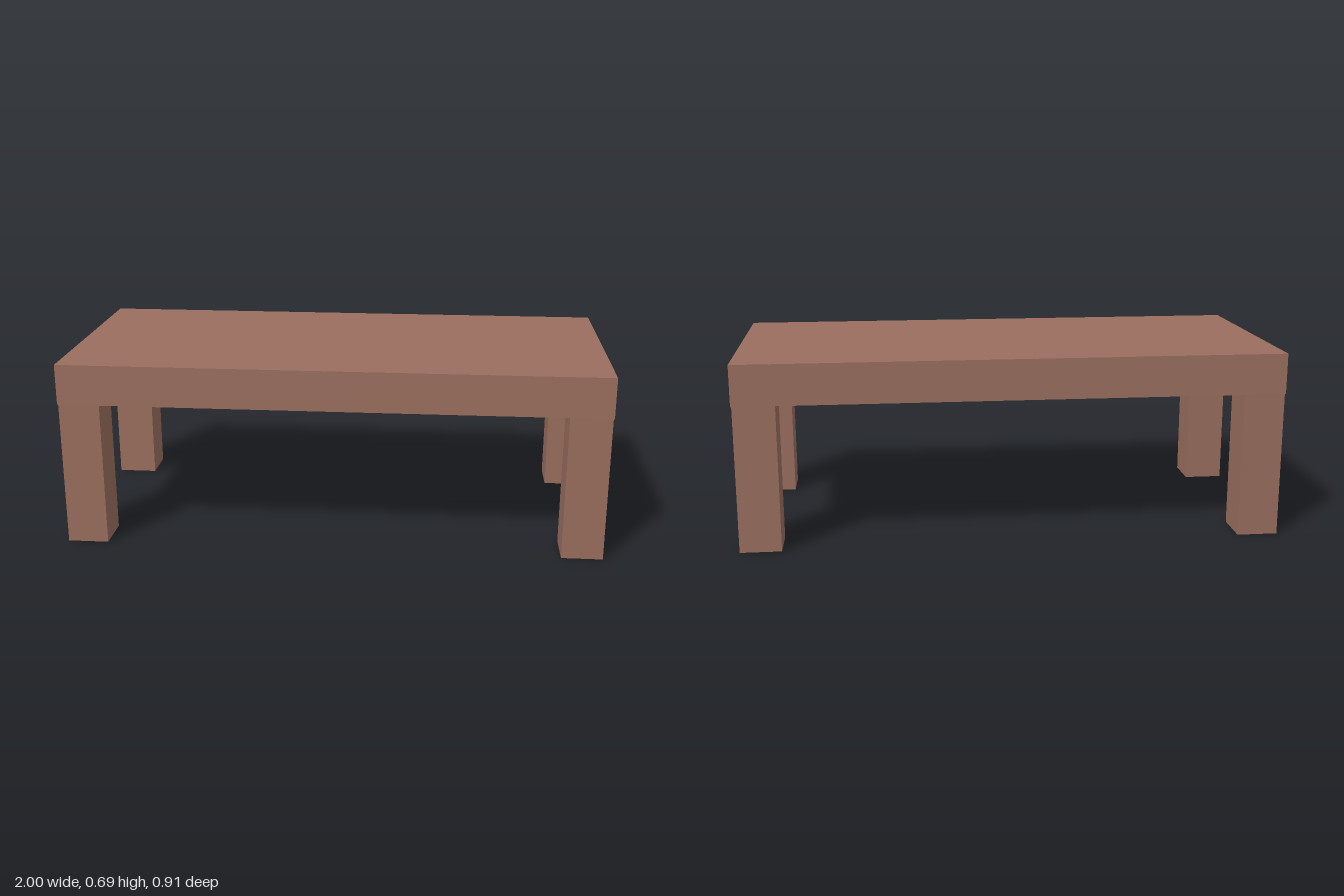
import * as THREE from 'three';

export function createModel() {
  const model = new THREE.Group();
  model.name = 'table';
  const wood = new THREE.MeshStandardMaterial({ color: 0x996e5e });
  wood.name = 'brown wood';

  const addBox = (name, [w, h, d], [x, y, z]) => {
    const mesh = new THREE.Mesh(new THREE.BoxGeometry(w, h, d), wood);
    mesh.name = name;
    mesh.position.set(x, y, z);
    model.add(mesh);
  };

  // Thick slab top
  const legHeight = 0.54, topThickness = 0.15;
  addBox('tableTop', [2, topThickness, 0.906], [0, legHeight + topThickness / 2, 0]);

  // Four square legs, set in a hair from the slab's edges
  for (const [side, sx] of [['Left', 1], ['Right', -1]]) {
    for (const [end, sz] of [['front', 1], ['back', -1]]) {
      addBox(`${end}${side}Leg`, [0.151, legHeight, 0.151], [sx * 0.921, legHeight / 2, sz * 0.3755]);
    }
  }
  return model;
}
